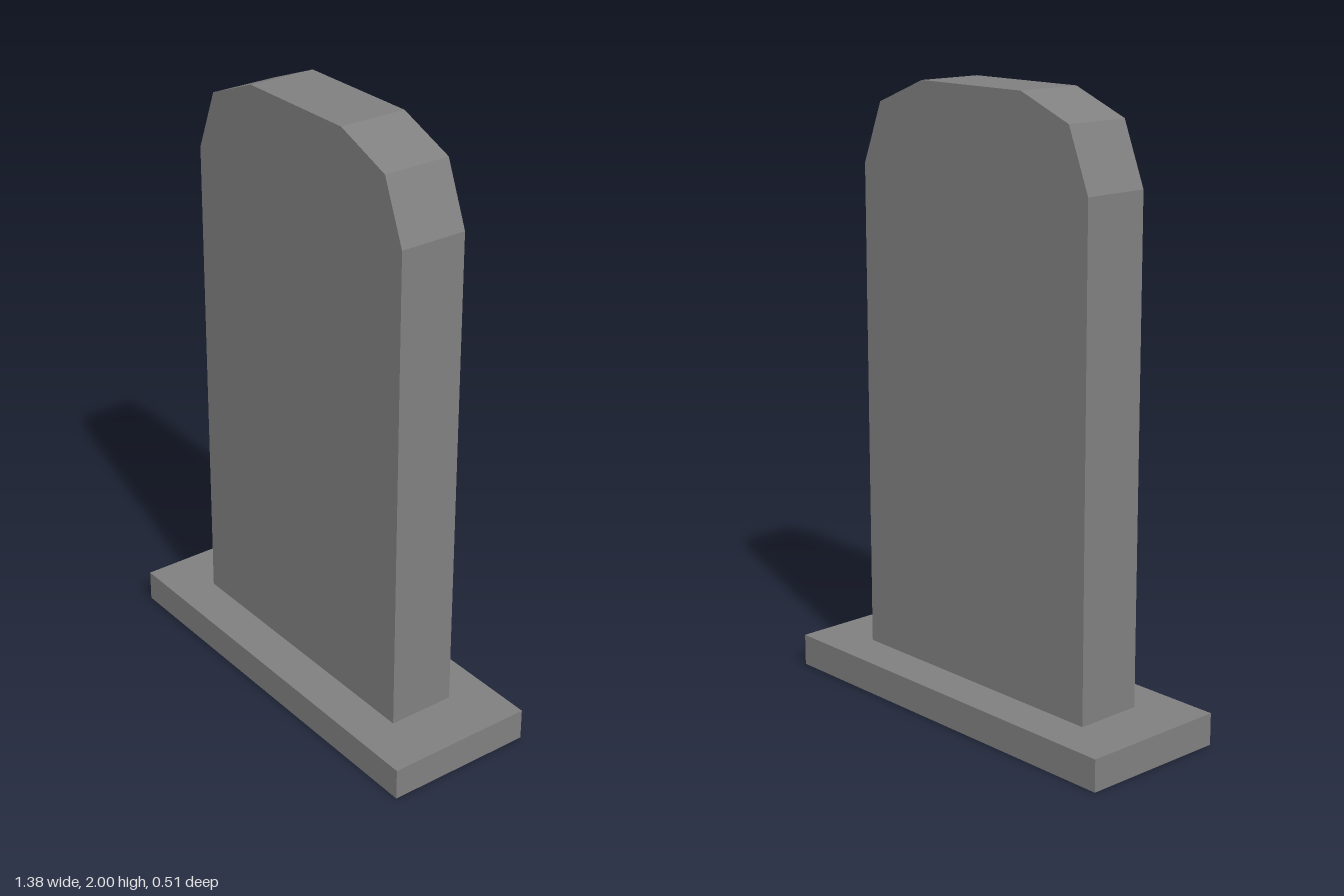
import * as THREE from 'three';

export function createModel() {
  const model = new THREE.Group();
  model.name = 'gravestone';
  const stone = new THREE.MeshStandardMaterial({ color: 0x808080, flatShading: true });
  stone.name = 'grey stone';

  // Low plinth
  const baseHeight = 0.105;
  const base = new THREE.Mesh(new THREE.BoxGeometry(1.385, baseHeight, 0.506), stone);
  base.name = 'base';
  base.position.y = baseHeight / 2;
  model.add(base);

  // Upright slab: right half of the outline, mirrored, with faceted shoulders
  const half = [[0.5, baseHeight], [0.5, 1.72], [0.42, 1.92], [0.22, 2]];
  const outline = [...half, ...half.map(([x, y]) => [-x, y]).reverse()];
  const depth = 0.228;
  const slabGeometry = new THREE.ExtrudeGeometry(
    new THREE.Shape(outline.map(([x, y]) => new THREE.Vector2(x, y))),
    { depth, bevelEnabled: false }
  );
  slabGeometry.translate(0, 0, -depth / 2);
  const slab = new THREE.Mesh(slabGeometry, stone);
  slab.name = 'slab';
  model.add(slab);

  return model;
}
